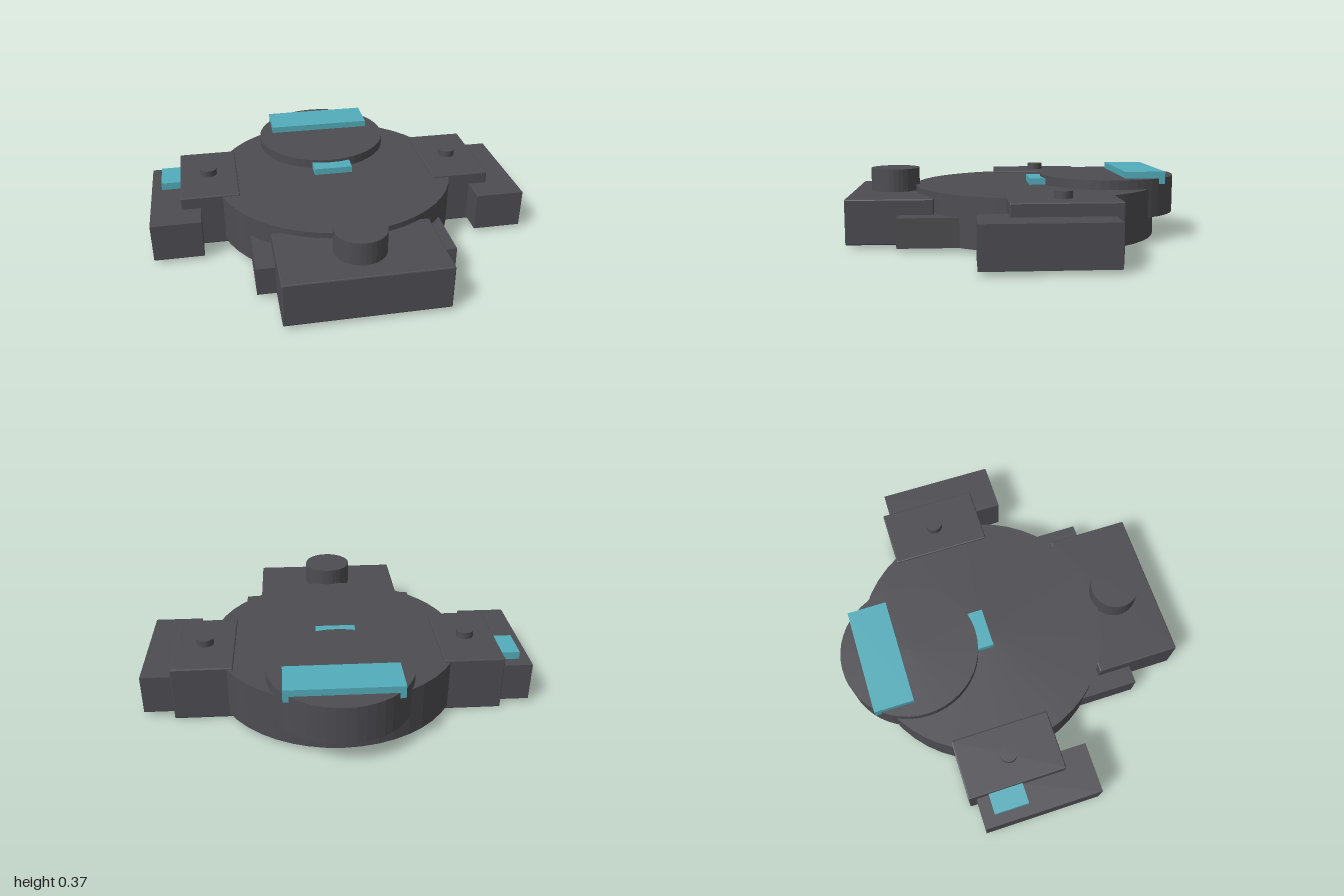
import * as THREE from 'three';
import { RoundedBoxGeometry } from 'three/addons/geometries/RoundedBoxGeometry.js';

export function createModel() {
  const model = new THREE.Group();
  model.name = 'model';

  const hull = new THREE.MeshStandardMaterial({ color: 0x4d4d52, flatShading: true });
  hull.name = 'dark grey hull';
  const glass = new THREE.MeshStandardMaterial({ color: 0x53acba, flatShading: true });
  glass.name = 'teal glass';

  function add(name, geometry, material) {
    const mesh = new THREE.Mesh(geometry, material);
    mesh.name = name;
    model.add(mesh);
    return mesh;
  }

  // Box given by its lower and upper limits on each axis; bevel softens the edges
  function box(name, [x0, x1], [y0, y1], [z0, z1], material = hull, bevel = 0) {
    const size = [x1 - x0, y1 - y0, z1 - z0];
    const geometry = bevel
      ? new RoundedBoxGeometry(...size, 1, bevel)
      : new THREE.BoxGeometry(...size);
    add(name, geometry, material)
      .position.set((x0 + x1) / 2, (y0 + y1) / 2, (z0 + z1) / 2);
  }

  // Upright disc standing between two heights
  function disc(name, radius, [y0, y1], x, z, sides) {
    add(name, new THREE.CylinderGeometry(radius, radius, y1 - y0, sides), hull)
      .position.set(x, (y0 + y1) / 2, z);
  }

  // Main round hull and the overhanging rear turret
  disc('mainHull', 0.65, [0.02, 0.28], 0, -0.11, 48);
  disc('rearTurret', 0.365, [0.13, 0.33], 0, -0.51, 48);

  // Front block with its drum, and the low shoulder behind it
  box('frontBlock', [-0.405, 0.405], [0.02, 0.25], [0.43, 0.87], hull, 0.006);
  box('frontShoulder', [-0.5, 0.5], [0.02, 0.17], [0.2, 0.61]);
  disc('frontDrum', 0.13, [0.24, 0.37], 0, 0.65, 32);

  // Side pods, mirrored
  for (const [side, s] of [['left', 1], ['right', -1]]) {
    const span = (a, b) => (s > 0 ? [a, b] : [-b, -a]);
    box(side + 'Pod', span(0.53, 0.84), [0, 0.29], [-0.44, 0.08], hull, 0.006);
    box(side + 'OuterBlock', span(0.74, 1), [0.02, 0.225], [-0.4, 0.225]);
    disc(side + 'PodStud', 0.045, [0.28, 0.325], s * 0.685, -0.18, 24);
  }

  // Teal windows
  box('rearWindow', [-0.285, 0.285], [0.33, 0.365], [-0.77, -0.56], glass);
  box('rearWindowLip', [-0.285, 0.285], [0.3, 0.33], [-0.77, -0.735], glass);
  box('centreWindow', [-0.105, 0.105], [0.28, 0.315], [-0.2, -0.075], glass);
  box('rightPodWindow', [-0.945, -0.83], [0.225, 0.265], [-0.335, -0.155], glass);

  return model;
}
